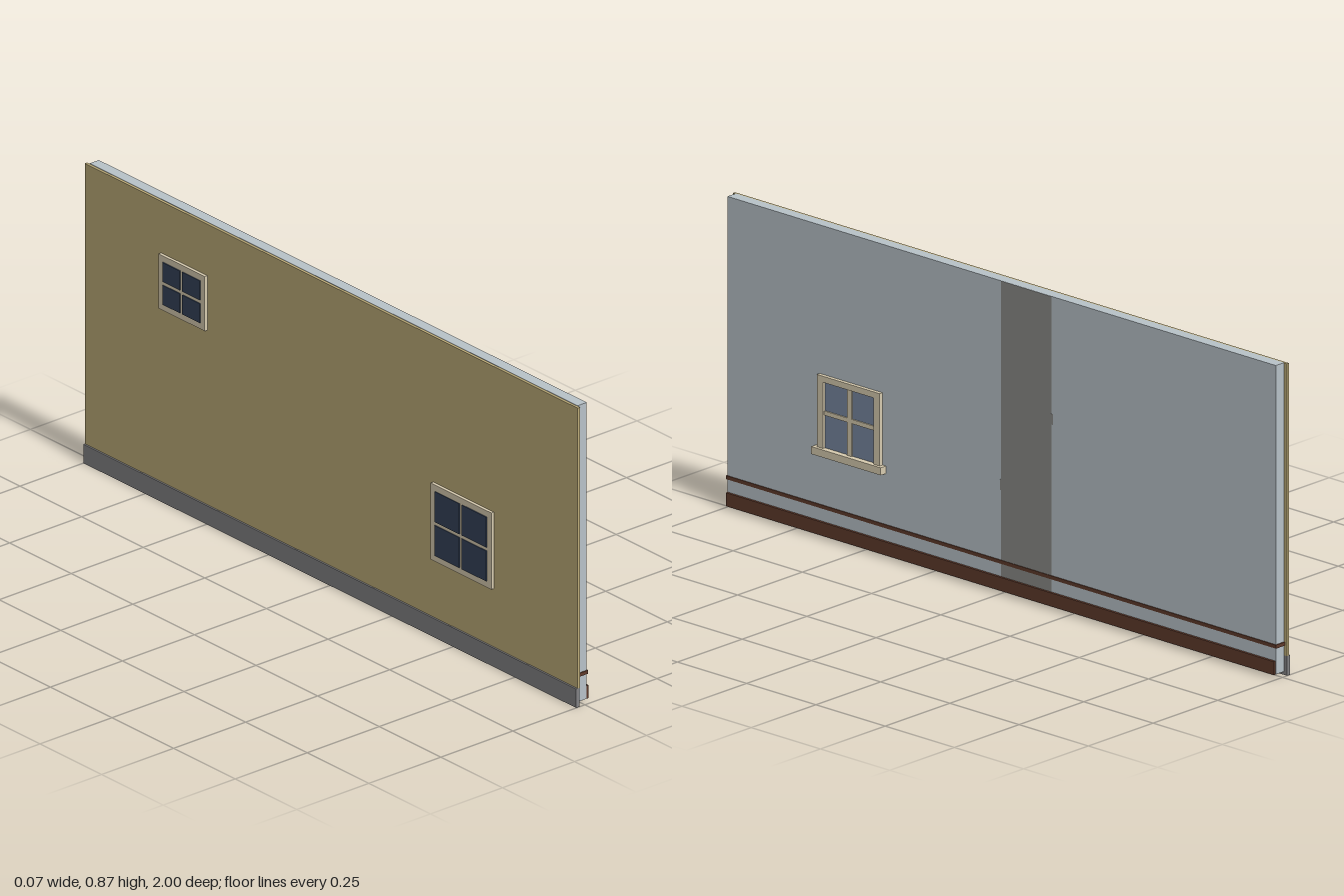
import * as THREE from 'three';

const mat = (name, color) => {
  const m = new THREE.MeshStandardMaterial({ color });
  m.name = name;
  return m;
};

export function createModel() {
  const plaster = mat('pale blue plaster', 0xb8c2c8);
  const bandGrey = mat('band grey', 0x8b8b87);
  const siding = mat('ochre siding', 0xbcab78);
  const stone = mat('plinth grey', 0x828284);
  const wood = mat('brown wood', 0x5f3a2b);
  const trim = mat('cream trim', 0xd8ccb0);
  const glassIn = mat('inner glass blue', 0x7888a0);
  const glassOut = mat('outer glass navy', 0x34425a);

  const model = new THREE.Group();
  model.name = 'wallSection';

  // Box given by its low and high limits on each axis
  const box = (name, m, x0, x1, y0, y1, z0, z1, parent = model) => {
    const mesh = new THREE.Mesh(new THREE.BoxGeometry(x1 - x0, y1 - y0, z1 - z0), m);
    mesh.position.set((x0 + x1) / 2, (y0 + y1) / 2, (z0 + z1) / 2);
    mesh.name = name;
    parent.add(mesh);
    return mesh;
  };

  // Wall layers
  box('wallCore', plaster, -0.017, 0.015, 0.01, 0.873, -0.99, 0.99);
  box('outerSiding', siding, -0.025, -0.017, 0.055, 0.872, -1, 1);
  box('plinth', stone, -0.03, -0.018, 0, 0.055, -1, 1);

  // Inner trim boards, running through the wall
  box('baseboard', wood, -0.0165, 0.022, 0.0095, 0.047, -0.9895, 0.9895);
  box('rail', wood, -0.0175, 0.0175, 0.083, 0.093, -0.993, 0.993);

  // Vertical grey band with a small catch on each edge
  box('greyBand', bandGrey, 0.0145, 0.0156, 0.045, 0.8725, -0.18, 0.002);
  box('bandCatch', bandGrey, 0.0145, 0.0158, 0.288, 0.318, -0.001, 0.006);
  box('bandCatch', bandGrey, 0.0145, 0.0158, 0.515, 0.545, -0.186, -0.179);

  // Outer window: solid frame with four panes laid on it
  const outerWindow = (y0, y1, z0, z1) => {
    const g = new THREE.Group();
    g.name = 'outerWindow';
    model.add(g);
    box('outerFrame', trim, -0.034, -0.024, y0, y1, z0, z1, g);
    const border = 0.018, bar = 0.01;
    const h = (y1 - y0 - 2 * border - bar) / 2;
    const w = (z1 - z0 - 2 * border - bar) / 2;
    for (const i of [0, 1]) for (const j of [0, 1]) {
      const y = y0 + border + i * (h + bar), z = z0 + border + j * (w + bar);
      box('outerPane', glassOut, -0.0365, -0.033, y, y + h, z, z + w, g);
    }
  };
  outerWindow(0.563, 0.722, -0.69, -0.503);
  outerWindow(0.225, 0.448, 0.414, 0.66);

  // Inner window: raised casing, recessed glass, cross bars and sill
  const inner = new THREE.Group();
  inner.name = 'innerWindow';
  model.add(inner);
  box('innerGlass', glassIn, 0.0145, 0.018, 0.25, 0.45, 0.44, 0.65, inner);
  box('casingTop', trim, 0.0145, 0.026, 0.441, 0.458, 0.43, 0.657, inner);
  for (const z of [0.43, 0.635]) box('casingSide', trim, 0.0145, 0.026, 0.25, 0.441, z, z + 0.022, inner);
  box('verticalBar', trim, 0.0145, 0.022, 0.25, 0.441, 0.536, 0.551, inner);
  box('horizontalBar', trim, 0.0145, 0.0215, 0.348, 0.36, 0.452, 0.635, inner);
  box('sill', trim, 0.0145, 0.035, 0.235, 0.256, 0.418, 0.669, inner);

  return model;
}
